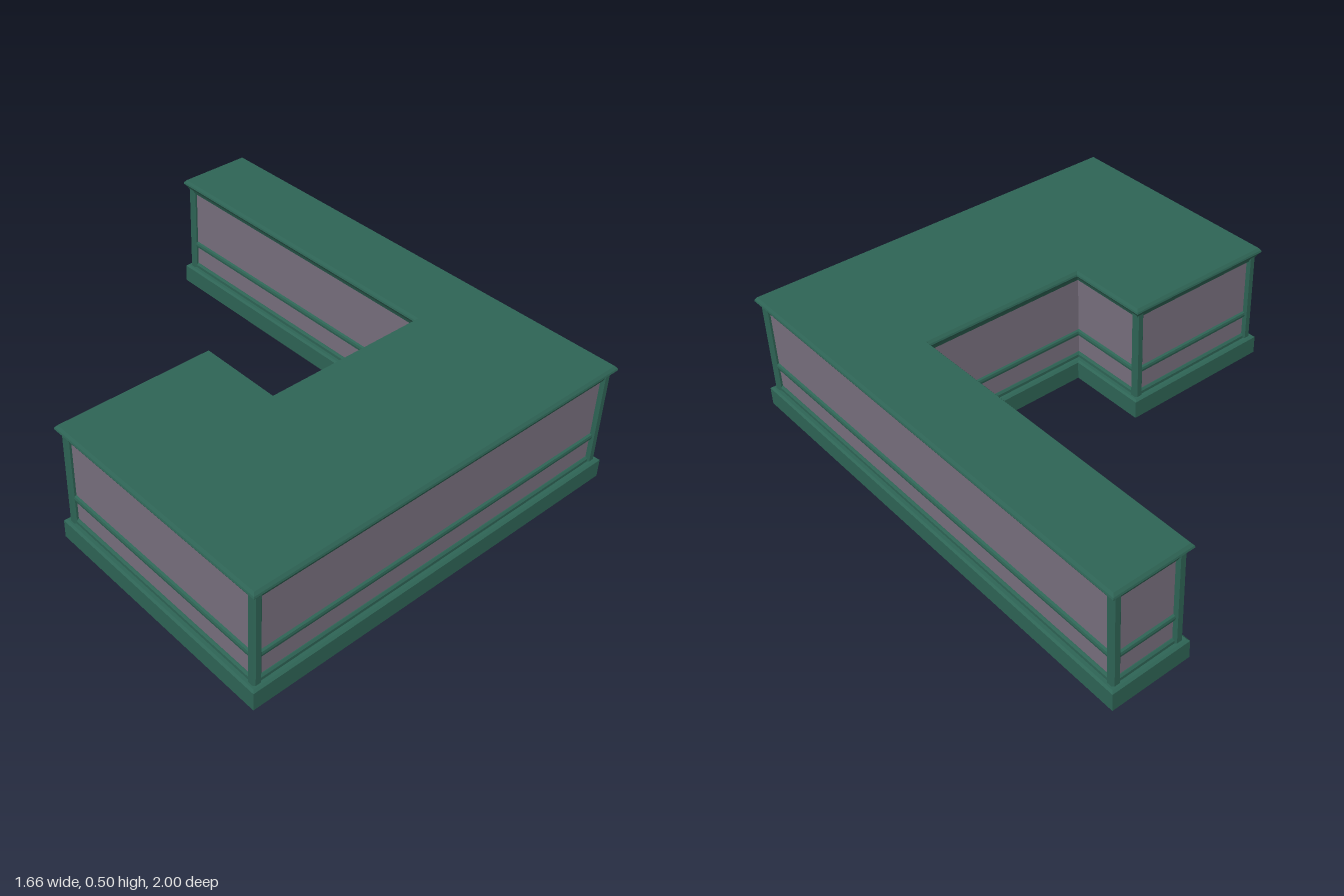
import * as THREE from 'three';

// Counter footprint, counter-clockwise, as (x, -z)
const outline = [
  [-0.83, -1], [0.83, -1], [0.83, 1], [0.505, 1],
  [0.505, -0.34], [-0.175, -0.34], [-0.175, 0], [-0.83, 0],
];
const count = outline.length;

// Inward normal of the edge that starts at corner i
function inward(i) {
  const a = outline[i % count], b = outline[(i + 1) % count];
  const dx = b[0] - a[0], dy = b[1] - a[1], l = Math.hypot(dx, dy);
  return [-dy / l, dx / l];
}

// Footprint moved inwards with mitred corners
function inset(d) {
  return outline.map(([x, y], i) => {
    const p = inward(i + count - 1), n = inward(i);
    return [x + d * (p[0] + n[0]), y + d * (p[1] + n[1])];
  });
}

// Sweep a profile of [inset, height] points, bottom to top, around the footprint
function sweep(profile) {
  const rings = profile.map(([d, y]) => inset(d).map(([px, py]) => [px, y, -py]));
  const pos = [];
  for (let r = 0; r < rings.length - 1; r++) {
    for (let i = 0; i < count; i++) {
      const j = (i + 1) % count;
      const a = rings[r][i], b = rings[r][j], c = rings[r + 1][j], d = rings[r + 1][i];
      pos.push(...a, ...b, ...c, ...a, ...c, ...d);
    }
  }
  const geo = new THREE.BufferGeometry();
  geo.setAttribute('position', new THREE.Float32BufferAttribute(pos, 3));
  geo.computeVertexNormals();
  return geo;
}

// Flat slab face filling the footprint
function cap(d, y, down) {
  const shape = new THREE.Shape(inset(d).map(([x, v]) => new THREE.Vector2(x, v)));
  const geo = new THREE.ShapeGeometry(shape).rotateX(-Math.PI / 2);
  if (down) {
    const idx = geo.index.array;
    for (let i = 0; i < idx.length; i += 3) [idx[i], idx[i + 1]] = [idx[i + 1], idx[i]];
    geo.computeVertexNormals();
  }
  return geo.translate(0, y, 0);
}

// Square post with chamfered edges
function postGeometry(size, y0, y1) {
  const h = size / 2, c = 0.007;
  const pts = [[-h + c, -h], [h - c, -h], [h, -h + c], [h, h - c], [h - c, h], [-h + c, h], [-h, h - c], [-h, -h + c]];
  const shape = new THREE.Shape(pts.map(([x, y]) => new THREE.Vector2(x, y)));
  return new THREE.ExtrudeGeometry(shape, { depth: y1 - y0, bevelEnabled: false })
    .rotateX(-Math.PI / 2).translate(0, y0, 0);
}

export function createModel() {
  const model = new THREE.Group();
  model.name = 'counter';
  const green = new THREE.MeshStandardMaterial({ color: 0x2e6455 });
  green.name = 'green trim';
  const grey = new THREE.MeshStandardMaterial({ color: 0x776f7d });
  grey.name = 'mauve grey panel';

  const add = (name, geo, mat) => {
    const mesh = new THREE.Mesh(geo, mat);
    mesh.name = name;
    model.add(mesh);
  };

  // Plinth with a sloped ledge, stepping up to the lower rail
  add('plinth', sweep([[0, 0], [0, 0.075], [0.008, 0.082], [0.021, 0.082], [0.021, 0.094], [0.027, 0.102], [0.032, 0.102]]), green);
  add('underside', cap(0, 0, true), green);

  // Recessed wall panels
  add('wallPanels', sweep([[0.03, 0.09], [0.03, 0.46]]), grey);

  // Middle rail
  add('middleRail', sweep([[0.031, 0.183], [0.022, 0.187], [0.02, 0.197], [0.022, 0.206], [0.031, 0.21]]), green);

  // Cornice and worktop
  add('cornice', sweep([[0.031, 0.446], [0.021, 0.448], [0.016, 0.46], [0.012, 0.468], [0, 0.483], [0.002, 0.49], [0.01, 0.5]]), green);
  add('worktop', cap(0.01, 0.5, false), green);

  // Posts on the outward corners only
  const size = 0.035;
  const postGeo = postGeometry(size, 0.08, 0.47);
  const centres = inset(0.015 + size / 2);
  for (let i = 0; i < count; i++) {
    const p = inward(i + count - 1), n = inward(i);
    if (p[0] * n[1] - p[1] * n[0] < 0) continue;
    const post = new THREE.Mesh(postGeo, green);
    post.name = 'cornerPost';
    post.position.set(centres[i][0], 0, -centres[i][1]);
    model.add(post);
  }
  return model;
}
